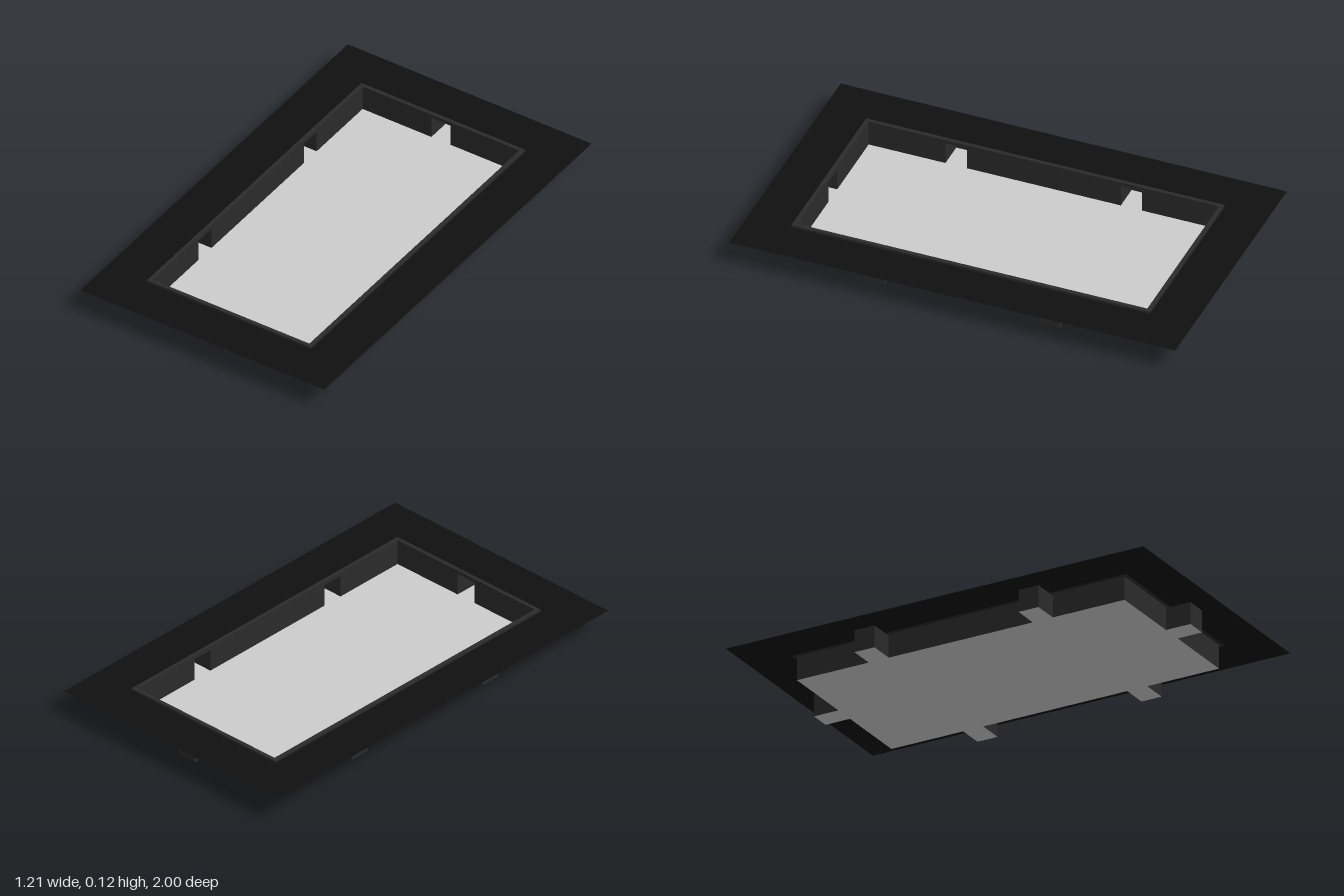
import * as THREE from 'three';

const W = 0.39, L = 0.785;           // half size of the tray
const TAB_X = 0.508, TAB_Z = 0.902;  // reach of the side and end recesses
const TAB_H = 0.1, RIM_Y = 0.107, TOP = 0.117;
const HALF = 0.048, SIDE_Z = 0.393;  // recess half width, side recess position

const mat = (color) => new THREE.MeshStandardMaterial({ color, side: THREE.DoubleSide });

const rectPoints = (x, z) => [[x, -z], [x, z], [-x, z], [-x, -z]].map(([a, b]) => new THREE.Vector2(a, b));

// Tray outline with one recess on each end and two on each side
function footprint() {
  const half = [[W, -L]];
  for (const c of [-SIDE_Z, SIDE_Z]) {
    half.push([W, c - HALF], [TAB_X, c - HALF], [TAB_X, c + HALF], [W, c + HALF]);
  }
  half.push([W, L], [HALF, L], [HALF, TAB_Z], [-HALF, TAB_Z], [-HALF, L]);
  const turned = half.map(([x, z]) => [-x, -z]);
  return [...half, ...turned].map(([x, z]) => new THREE.Vector2(x, z));
}

// Flat sheet lying at height y
function sheet(points, y, hole) {
  const shape = new THREE.Shape(points);
  if (hole) shape.holes.push(new THREE.Path(hole));
  return new THREE.ShapeGeometry(shape).rotateX(-Math.PI / 2).translate(0, y, 0);
}

// Thin upright wall following a closed outline
function wall(points, y0, y1) {
  const pos = [];
  points.forEach((p, i) => {
    const q = points[(i + 1) % points.length];
    const a = [p.x, y0, -p.y], b = [q.x, y0, -q.y], c = [q.x, y1, -q.y], d = [p.x, y1, -p.y];
    pos.push(...a, ...b, ...c, ...a, ...c, ...d);
  });
  const g = new THREE.BufferGeometry();
  g.setAttribute('position', new THREE.Float32BufferAttribute(pos, 3));
  g.computeVertexNormals();
  return g;
}

export function createModel() {
  const model = new THREE.Group();
  const add = (name, geometry, material) => {
    const mesh = new THREE.Mesh(geometry, material);
    mesh.name = name;
    model.add(mesh);
  };
  const grey = mat(0xcccccc), dark = mat(0x2a2a2a), black = mat(0x101010);
  const outline = footprint();

  // Tray: floor, recessed walls and the band above the recesses
  add('floor', sheet(outline, 0), grey);
  add('walls', wall(outline, 0, TAB_H), dark);
  add('upperWall', wall(rectPoints(W, L), TAB_H, RIM_Y), dark);

  // Roofs of the recesses
  const roof = (name, w, d, x, z) =>
    add(name, new THREE.PlaneGeometry(w, d).rotateX(-Math.PI / 2).translate(x, TAB_H, z), dark);
  for (const s of [-1, 1]) {
    roof('endRecessRoof', HALF * 2, TAB_Z - L, 0, s * (L + TAB_Z) / 2);
    for (const t of [-1, 1]) {
      roof('sideRecessRoof', TAB_X - W, HALF * 2, s * (W + TAB_X) / 2, t * SIDE_Z);
    }
  }

  // Raised lip around the opening
  const lipShape = new THREE.Shape(rectPoints(0.408, 0.803));
  lipShape.holes.push(new THREE.Path(rectPoints(W, L)));
  const lip = new THREE.ExtrudeGeometry(lipShape, { depth: TOP - RIM_Y, bevelEnabled: false });
  add('lip', lip.rotateX(-Math.PI / 2).translate(0, RIM_Y, 0), dark);

  // Thin surround sheet
  add('surround', sheet(rectPoints(0.607, 1), RIM_Y, rectPoints(0.408, 0.803)), black);
  return model;
}
